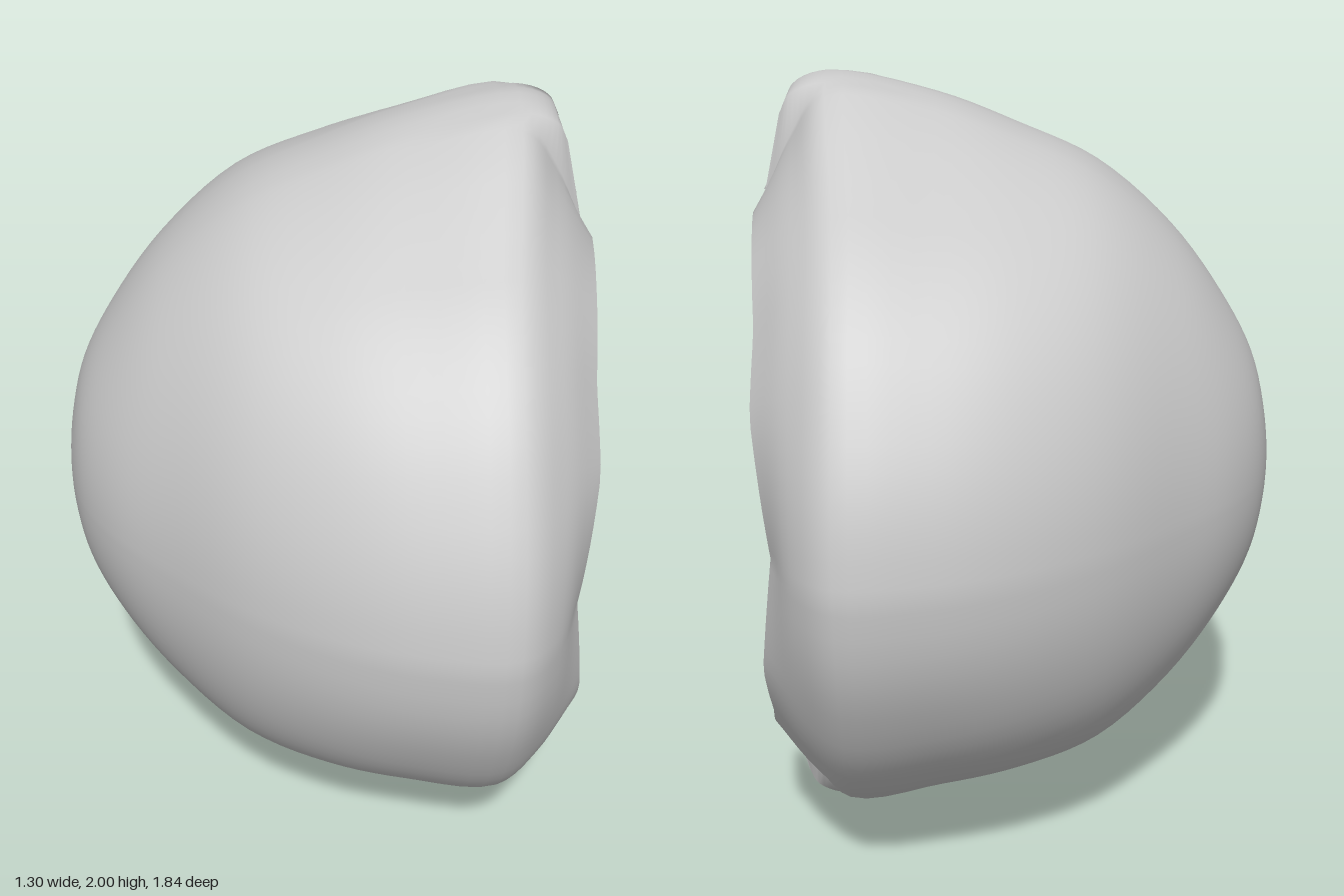
import * as THREE from 'three';

// Linear lookup in a list of [key, value] pairs
function lookup(table, key) {
  for (let i = 1; i < table.length; i++) {
    const [k0, v0] = table[i - 1], [k1, v1] = table[i];
    if (key <= k1) return v0 + (v1 - v0) * (key - k0) / (k1 - k0);
  }
  return table[table.length - 1][1];
}

// Widest outline, rim radius and rim depth by degrees away from the vertical
const OUTLINE = [[0, 1], [5, 0.99], [12, 0.95], [20, 0.91], [28, 0.888], [43, 0.885], [65, 0.89], [78, 0.905], [90, 0.912]];
const RIM = [[0, 0.91], [5, 0.914], [6.7, 0.69], [9, 0.685], [17, 0.698], [35, 0.7], [61, 0.685], [90, 0.67]];
const RIM_X = [[0, 0.57], [5, 0.58], [6.7, 0.63], [10, 0.65], [25, 0.635], [45, 0.615], [62, 0.62], [90, 0.58]];

// Dome stations: x, half depth, half height, share of the widest outline's shape
const STATIONS = [
  [-0.65, 0, 0, 0], [-0.635, 0.13, 0.14, 0], [-0.6, 0.24, 0.28, 0], [-0.52, 0.37, 0.43, 0],
  [-0.39, 0.51, 0.605, 0], [-0.2, 0.69, 0.77, 0.1], [0, 0.815, 0.865, 0.4], [0.2, 0.888, 0.945, 0.8],
];

// One meridian from the back pole over the shoulder to the rim
function meridian(deg) {
  const fold = Math.abs(((deg + 90) % 180) - 90); // degrees from the vertical, 0..90
  const a = THREE.MathUtils.degToRad(deg);
  const c = Math.cos(a), s = Math.sin(a);
  const at = (x, r) => new THREE.Vector3(x, 1 + r * c, r * s);
  const wide = lookup(OUTLINE, fold), rim = lookup(RIM, fold), rimX = lookup(RIM_X, fold);
  const tip = Math.exp(-((fold / 25) ** 2));
  const points = STATIONS.map(([x, rz, ry, share]) => {
    if (rz === 0) return at(x, 0);
    const ellipse = 1 / Math.hypot(c / ry, s / rz);
    const shaped = wide * (rz / 0.912 + (ry - rz / 0.912) * c * c);
    return at(x, THREE.MathUtils.lerp(ellipse, shaped, share));
  });
  points.push(
    at(0.42 + 0.05 * tip, wide),
    at(0.52 + 0.035 * tip, rim + (wide - rim) * 0.62),
    at(rimX, rim),
  );
  return new THREE.CatmullRomCurve3(points, false, 'centripetal').getPoints(50);
}

// Meridian angles, dense at the two notches and mirrored round the circle
function angles() {
  const quarter = [0, 2.5, 5, 6.7, 8, 10, 12.5];
  for (let d = 16; d < 90; d += 4) quarter.push(d);
  const half = [...quarter, 90, ...quarter.slice(1).reverse().map((d) => 180 - d)];
  return [...half, ...half.map((d) => d + 180)];
}

function shellGeometry() {
  const columns = angles().map(meridian);
  const rows = columns[0].length, n = columns.length;
  const positions = [], index = [];
  columns.forEach((col) => col.forEach((p) => positions.push(p.x, p.y, p.z)));
  const id = (i, j) => (j === 0 ? 0 : (i % n) * rows + j); // all columns share the pole
  for (let i = 0; i < n; i++) {
    for (let j = 0; j < rows - 1; j++) {
      const a = id(i, j), b = id(i + 1, j), c = id(i + 1, j + 1), d = id(i, j + 1);
      if (j > 0) index.push(a, b, d);
      index.push(b, c, d);
    }
  }
  const geometry = new THREE.BufferGeometry();
  geometry.setAttribute('position', new THREE.Float32BufferAttribute(positions, 3));
  geometry.setIndex(index);
  geometry.computeVertexNormals();
  return geometry;
}

export function createModel() {
  const group = new THREE.Group();
  group.name = 'hollowShell';
  const material = new THREE.MeshStandardMaterial({ color: 0xcccccc, side: THREE.DoubleSide });
  // Thin dome with an inward-rolled lip and a notch at top and bottom
  const shell = new THREE.Mesh(shellGeometry(), material);
  shell.name = 'notchedDome';
  group.add(shell);
  return group;
}
